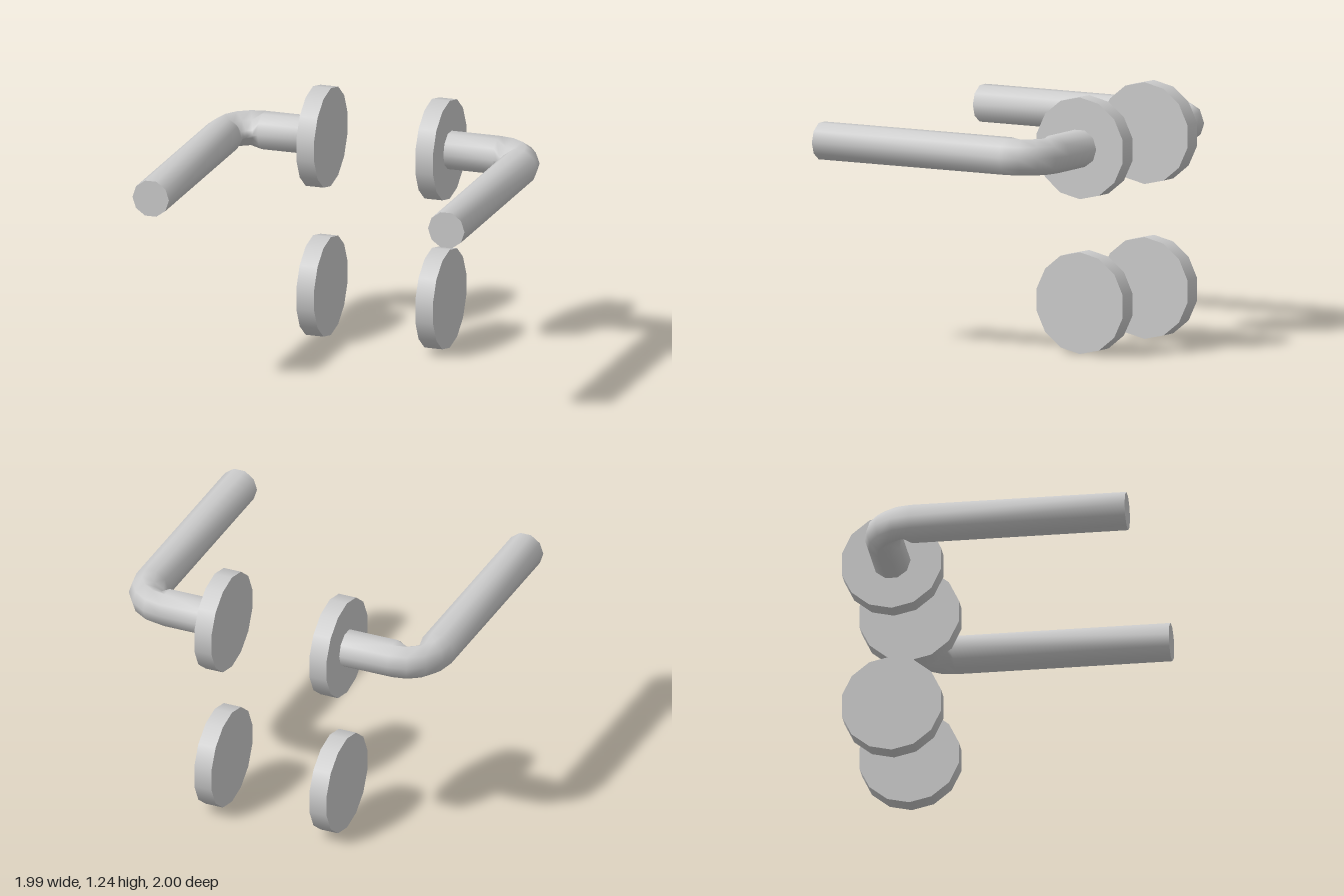
import * as THREE from 'three';

const SIDES = 10;          // facets around the lever
const BAR_R = 0.092;       // lever bar radius
const BEND_R = 0.153;      // centre-line radius of the bend
const AXIS_Y = 0.99;       // height of the lever axis
const LOCK_Y = 0.245;      // height of the lower rosettes

const material = new THREE.MeshStandardMaterial({ color: 0xcccccc });

// Bent lever: rings swept along stem, bend and grip. s = +1 or -1 picks the door side.
function leverGeometry(s) {
  const cx = -0.153, cz = 0.593;
  const stations = [{ x: 0, z: 0.3, phi: 0 }];
  for (let i = 0; i <= 4; i++) {
    const phi = (i / 4) * Math.PI / 2;
    stations.push({
      x: cx + BEND_R * Math.cos(phi),
      z: cz + BEND_R * Math.sin(phi),
      phi,
      pinched: i > 0 && i < 4,
    });
  }
  stations.push({ x: -1.192, z: cz + BEND_R, phi: Math.PI / 2 });

  const pos = [], index = [];
  const tri = (a, b, c) => (s > 0 ? index.push(a, b, c) : index.push(a, c, b));
  const addRing = ({ x, z, phi, pinched }) => {
    for (let j = 0; j < SIDES; j++) {
      const a = (j / SIDES) * Math.PI * 2;
      const out = Math.cos(a) * BAR_R;
      let y = Math.sin(a) * BAR_R;
      // the inside of the bend is flattened into a crease
      if (pinched && out < -0.01) y *= out < -0.05 ? 0.35 : 0.65;
      pos.push(x + Math.cos(phi) * out, y, s * (z + Math.sin(phi) * out));
    }
  };

  stations.forEach(addRing);
  for (let i = 0; i < stations.length - 1; i++) {
    for (let j = 0; j < SIDES; j++) {
      const k = (j + 1) % SIDES;
      const a = i * SIDES + j, b = i * SIDES + k;
      tri(a, b, b + SIDES);
      tri(a, b + SIDES, a + SIDES);
    }
  }

  // flat end of the grip, with its own vertices for a sharp edge
  const start = pos.length / 3;
  addRing(stations[stations.length - 1]);
  for (let j = 1; j < SIDES - 1; j++) tri(start, start + j, start + j + 1);

  const geometry = new THREE.BufferGeometry();
  geometry.setAttribute('position', new THREE.Float32BufferAttribute(pos, 3));
  geometry.setIndex(index);
  geometry.computeVertexNormals();
  return geometry;
}

export function createModel() {
  const model = new THREE.Group();
  model.name = 'doorHandleSet';

  // door frame of reference: local z points out of the door, local x along it
  const door = new THREE.Group();
  door.name = 'handlePair';
  door.position.set(0.446, 0, -0.442);
  door.rotation.y = 0.771;
  model.add(door);

  const disc = new THREE.CylinderGeometry(0.245, 0.245, 0.09, 14);
  disc.rotateX(Math.PI / 2);

  for (const [s, side] of [[1, 'front'], [-1, 'back']]) {
    const lever = new THREE.Mesh(leverGeometry(s), material);
    lever.name = side + 'Lever';
    lever.position.y = AXIS_Y;
    door.add(lever);

    // round cover plates: one behind the lever, one for the lock below
    for (const [y, part] of [[AXIS_Y, 'LeverRosette'], [LOCK_Y, 'LockRosette']]) {
      const rosette = new THREE.Mesh(disc, material);
      rosette.name = side + part;
      rosette.position.set(0, y, s * 0.3);
      door.add(rosette);
    }
  }
  return model;
}
